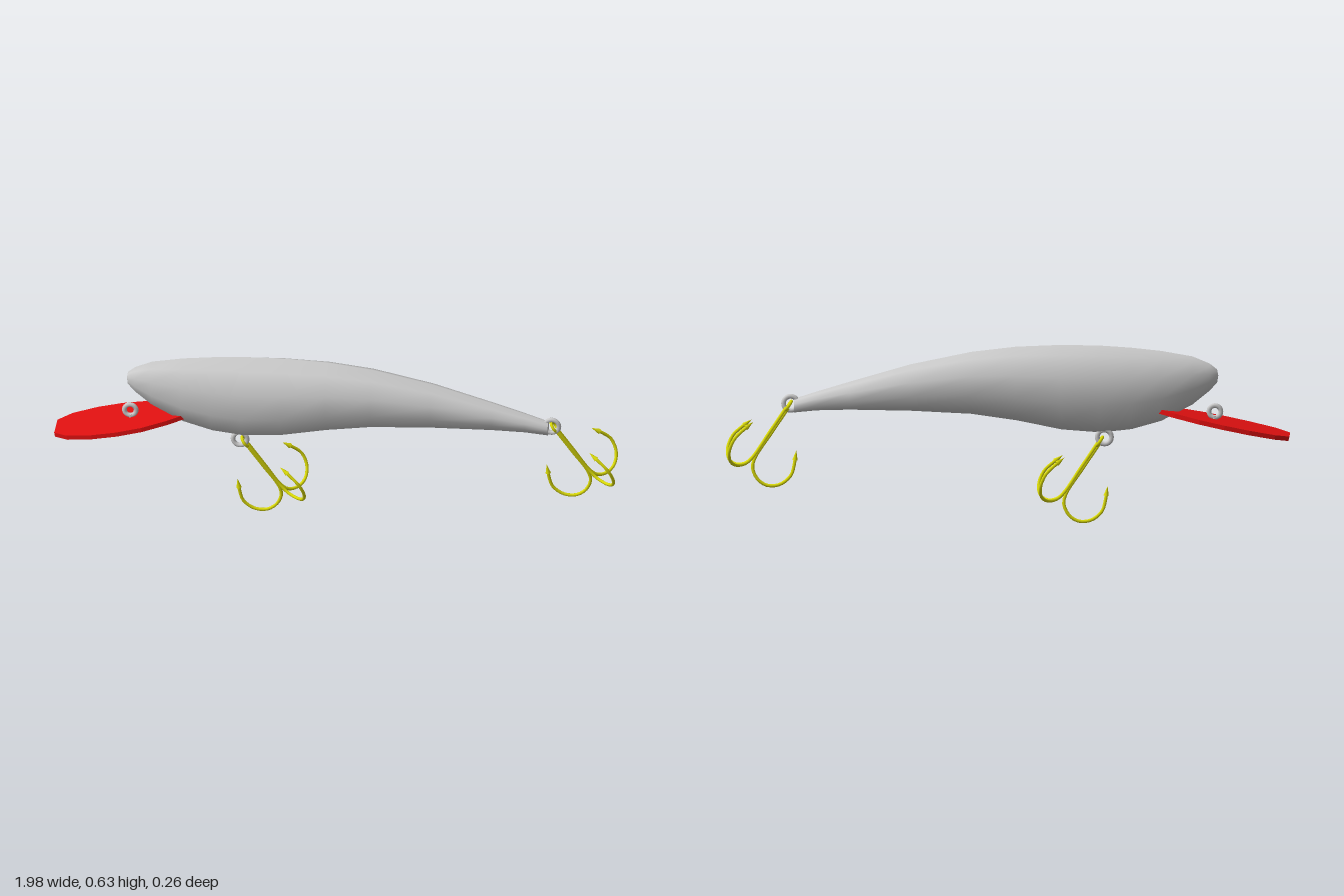
import * as THREE from 'three';

const MID = 0.018; // z of the body's centre plane
const grey = new THREE.MeshStandardMaterial({ color: 0xcccccc });
const red = new THREE.MeshStandardMaterial({ color: 0xe01010 });
const yellow = new THREE.MeshStandardMaterial({ color: 0xdcdc08 });

function addMesh(parent, name, geometry, material) {
  const mesh = new THREE.Mesh(geometry, material);
  mesh.name = name;
  parent.add(mesh);
  return mesh;
}

// Body: ten-sided elliptical sections, each [x, top, bottom, half width]
function bodyGeometry() {
  const sections = [
    [-0.75, 0.52, 0.52, 0], [-0.746, 0.541, 0.495, 0.014], [-0.72, 0.562, 0.466, 0.03],
    [-0.66, 0.587, 0.417, 0.05], [-0.55, 0.606, 0.358, 0.072], [-0.445, 0.617, 0.328, 0.086],
    [-0.337, 0.624, 0.316, 0.096], [-0.2, 0.626, 0.326, 0.101], [-0.04, 0.619, 0.358, 0.097],
    [0.117, 0.6, 0.38, 0.087], [0.33, 0.555, 0.39, 0.068], [0.545, 0.492, 0.393, 0.047],
    [0.66, 0.457, 0.39, 0.034], [0.74, 0.431, 0.382, 0.026],
    [0.74, 0.431, 0.382, 0.026], [0.74, 0.406, 0.406, 0], // repeated ring keeps the tail edge sharp
  ];
  const sides = 10, positions = [], index = [];
  sections.forEach(([x, top, bottom, half], i) => {
    for (let j = 0; j < sides; j++) {
      const a = (j / sides) * Math.PI * 2;
      positions.push(x, (top + bottom) / 2 + ((top - bottom) / 2) * Math.cos(a), MID + half * Math.sin(a));
      if (i === sections.length - 1) continue;
      const p = i * sides + j, q = i * sides + ((j + 1) % sides);
      index.push(p, q, p + sides, q, q + sides, p + sides);
    }
  });
  const geometry = new THREE.BufferGeometry();
  geometry.setAttribute('position', new THREE.Float32BufferAttribute(positions, 3));
  geometry.setIndex(index);
  geometry.computeVertexNormals();
  return geometry;
}

// Diving lip: thin rounded plate sloping down ahead of the chin
function lipGeometry() {
  const half = [[0, 0.045], [-0.06, 0.075], [-0.15, 0.105], [-0.24, 0.115],
    [-0.33, 0.11], [-0.42, 0.088], [-0.47, 0.05]];
  const outline = [...half, ...half.map(([x, w]) => [x, -w]).reverse()];
  const shape = new THREE.Shape(outline.map(([x, w]) => new THREE.Vector2(x, w)));
  const geometry = new THREE.ExtrudeGeometry(shape, { depth: 0.016, bevelEnabled: false });
  return geometry.rotateX(Math.PI / 2).translate(0, 0.005, 0);
}

// Treble hook: local -y runs down the shank, arms fan out around it
function trebleHook(name) {
  const hook = new THREE.Group();
  hook.name = name;
  const profile = [[0.015, 0.004], [0.12, 0.004], [0.225, 0.005], [0.258, 0.018], [0.281, 0.055],
    [0.28, 0.095], [0.252, 0.13], [0.205, 0.144], [0.165, 0.132], [0.142, 0.121]];
  const curve = new THREE.CatmullRomCurve3(profile.map(([d, r]) => new THREE.Vector3(r, -d, 0)));
  const wire = new THREE.TubeGeometry(curve, 36, 0.0058, 8);
  const tip = curve.getPoint(1), direction = curve.getTangent(1);
  [0, 2.32, -2.32].forEach((angle, i) => {
    const arm = new THREE.Group();
    arm.name = 'hookArm' + (i + 1);
    arm.rotation.y = angle;
    addMesh(arm, 'hookWire', wire, yellow);
    // Point and its barb
    const point = addMesh(arm, 'hookPoint', new THREE.ConeGeometry(0.0095, 0.035, 8), yellow);
    point.position.copy(tip).addScaledVector(direction, 0.006);
    point.quaternion.setFromUnitVectors(new THREE.Vector3(0, 1, 0), direction);
    hook.add(arm);
  });
  // Eye faces the first arm's direction
  const eye = addMesh(hook, 'hookEye', new THREE.TorusGeometry(0.019, 0.0055, 8, 20), yellow);
  eye.rotation.y = Math.PI / 2;
  eye.position.y = -0.006;
  return hook;
}

export function createModel() {
  const model = new THREE.Group();
  model.name = 'fishingLure';
  addMesh(model, 'body', bodyGeometry(), grey);

  const lip = addMesh(model, 'divingLip', lipGeometry(), red);
  lip.position.set(-0.54, 0.402, MID);
  lip.rotation.z = 0.205;

  // Wire eyelets: line tie, belly and tail
  [['lineEyelet', -0.738, 0.392, 0.021, MID], ['bellyEyelet', -0.35, 0.3, 0.025, 0.016],
    ['tailEyelet', 0.752, 0.415, 0.025, 0.016]].forEach(([name, x, y, radius, z]) => {
    addMesh(model, name, new THREE.TorusGeometry(radius, 0.0085, 8, 20), grey).position.set(x, y, z);
  });
  // Stem of the line eyelet passing through the lip
  const stem = addMesh(model, 'lineEyeletStem', new THREE.CylinderGeometry(0.009, 0.009, 0.035, 8), grey);
  stem.position.set(-0.736, 0.359, MID);

  // Hooks hang backwards from the belly and tail eyelets
  const down = new THREE.Vector3(0.56, -0.83, -0.11).normalize();
  const yAxis = down.clone().negate();
  const zAxis = new THREE.Vector3(-0.83, -0.56, 0).cross(yAxis).normalize();
  const xAxis = new THREE.Vector3().crossVectors(yAxis, zAxis);
  const basis = new THREE.Matrix4().makeBasis(xAxis, yAxis, zAxis);
  [['bellyHook', -0.337, 0.291], ['tailHook', 0.756, 0.413]].forEach(([name, x, y]) => {
    const hook = trebleHook(name);
    hook.quaternion.setFromRotationMatrix(basis);
    hook.position.set(x, y, 0.007);
    model.add(hook);
  });
  return model;
}
